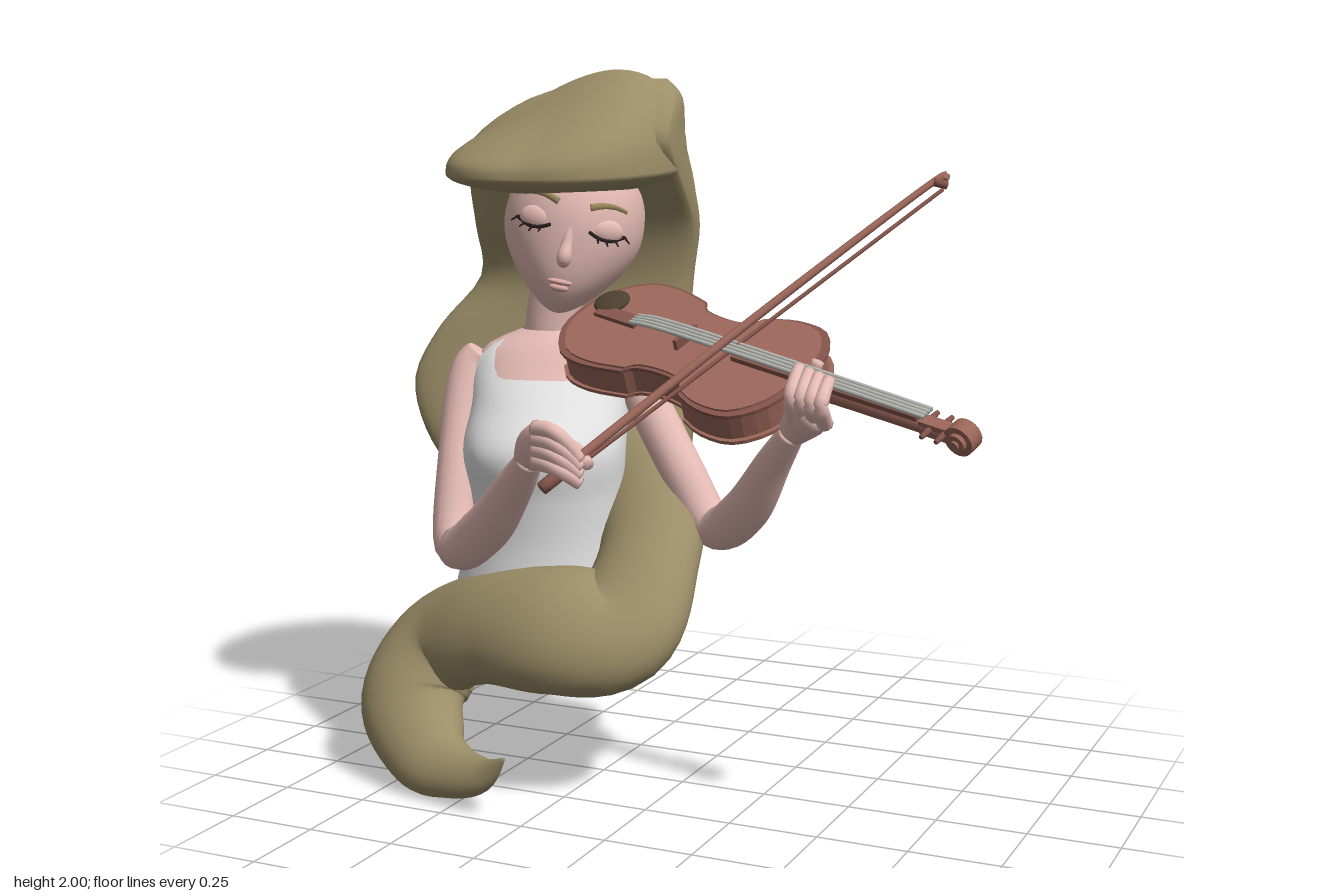
import * as THREE from 'three';

const V = (x, y, z) => new THREE.Vector3(x, y, z);
const mat = (name, color, side = THREE.FrontSide) => {
  const m = new THREE.MeshStandardMaterial({ color, side });
  m.name = name;
  return m;
};

export function createModel() {
  const hair = mat('hair', 0x9c8e68), skin = mat('skin', 0xe6bcb5, THREE.DoubleSide);
  const cloth = mat('cloth', 0xefefef, THREE.DoubleSide), wood = mat('wood', 0x9c675a);
  const darkWood = mat('dark wood', 0x85554b), metal = mat('strings', 0xb8b8b4);
  const black = mat('lashes', 0x2a2020), browMat = mat('brow', 0x9a8a5c);
  const lipMat = mat('lips', 0xd9a7a0), restMat = mat('chin rest', 0x4c4030);
  const root = new THREE.Group();

  const add = (parent, name, geo, material, pos) => {
    const m = new THREE.Mesh(geo, material);
    m.name = name;
    if (pos) m.position.copy(pos);
    parent.add(m);
    return m;
  };
  const group = (parent, name) => {
    const g = new THREE.Group();
    g.name = name;
    parent.add(g);
    return g;
  };
  // smooth interpolation through rows of numbers, t in 0..1
  const sample = (rows, t) => {
    const n = rows.length - 1, f = Math.min(t * n, n - 1e-6), i = Math.floor(f), u = f - i;
    const r = k => rows[Math.max(0, Math.min(n, k))];
    return rows[0].map((_, k) => {
      const a = r(i - 1)[k], b = r(i)[k], c = r(i + 1)[k], d = r(i + 2)[k];
      return b + 0.5 * u * (c - a + u * (2 * a - 5 * b + 4 * c - d + u * (3 * (b - c) + d - a)));
    });
  };
  // skin over closed rings of points
  const loft = (rings, caps = true) => {
    const n = rings[0].length, pts = rings.flat(), idx = [], last = (rings.length - 1) * n;
    for (let j = 0; j < rings.length - 1; j++)
      for (let i = 0; i < n; i++) {
        const a = j * n + i, b = j * n + (i + 1) % n;
        idx.push(a, a + n, b, b, a + n, b + n);
      }
    if (caps) {
      const mid = ring => ring.reduce((s, p) => s.add(p), V(0, 0, 0)).divideScalar(n);
      const c0 = pts.length;
      pts.push(mid(rings[0]), mid(rings[rings.length - 1]));
      for (let i = 0; i < n; i++) {
        const k = (i + 1) % n;
        idx.push(c0, i, k, c0 + 1, last + k, last + i);
      }
    }
    const g = new THREE.BufferGeometry().setFromPoints(pts);
    g.setIndex(idx);
    g.computeVertexNormals();
    return g;
  };
  // tube with changing radius along rows [x, y, z, r]
  const sweep = (rows, steps, sides, ref = V(0, 0, 1), flat = 1) => {
    const rings = [];
    for (let j = 0; j <= steps; j++) {
      const t = j / steps, [x, y, z, r] = sample(rows, t);
      const p = sample(rows, Math.max(0, t - 0.01)), q = sample(rows, Math.min(1, t + 0.01));
      const T = V(q[0] - p[0], q[1] - p[1], q[2] - p[2]).normalize();
      const S = T.clone().cross(ref).normalize(), B = S.clone().cross(T);
      rings.push(Array.from({ length: sides }, (_, i) => {
        const a = i / sides * Math.PI * 2, R = Math.max(r, 0.002);
        return V(x, y, z).addScaledVector(S, R * Math.cos(a)).addScaledVector(B, R * flat * Math.sin(a));
      }));
    }
    return loft(rings);
  };
  const ball = (parent, name, m, p, sx, sy, sz) => {
    const o = add(parent, name, new THREE.SphereGeometry(1, 20, 14), m, p);
    o.scale.set(sx, sy, sz);
    return o;
  };
  const deform = (g, fn) => {
    const p = g.attributes.position, v = V(0, 0, 0);
    for (let i = 0; i < p.count; i++) {
      fn(v.fromBufferAttribute(p, i));
      p.setXYZ(i, v.x, v.y, v.z);
    }
    g.computeVertexNormals();
    return g;
  };

  // Hair: back mass, rows are y, xMin, xMax, zBack, zFront, sideways skew
  const backRows = [
    [0.645, -0.55, -0.25, -0.32, -0.1, 0], [0.7, -0.65, -0.17, -0.44, -0.07, 0.03],
    [0.82, -0.78, -0.13, -0.52, -0.09, 0.08], [0.95, -0.88, -0.13, -0.55, -0.12, 0.11],
    [1.1, -0.93, -0.14, -0.57, -0.16, 0.12], [1.25, -0.87, -0.16, -0.53, -0.2, 0.11],
    [1.4, -0.755, -0.15, -0.48, -0.23, 0.09], [1.55, -0.735, -0.12, -0.49, -0.18, 0.1],
    [1.68, -0.735, -0.1, -0.53, -0.1, 0.05], [1.8, -0.72, -0.09, -0.515, -0.04, 0],
    [1.92, -0.57, -0.11, -0.43, -0.12, 0], [1.975, -0.36, -0.17, -0.34, -0.18, 0]];
  const backRings = [];
  for (let j = 0; j <= 44; j++) {
    const [y, x0, x1, zb, zf, sk] = sample(backRows, j / 44), zc = zf - 0.08;
    backRings.push(Array.from({ length: 40 }, (_, i) => {
      const a = i / 40 * Math.PI * 2, c = Math.cos(a), s = Math.sin(a);
      return V((x0 + x1) / 2 + (x1 - x0) / 2 * c, y, zc + s * (s > 0 ? zf - zc : zc - zb) - sk * c);
    }));
  }
  add(root, 'backHair', loft(backRings), hair);
  // swept fringe, higher on the model's left and sloping down to the brow
  add(root, 'fringe', deform(new THREE.SphereGeometry(1, 48, 36), v => {
    const { x, y, z } = v, front = Math.max(0, z), corner = 1 + 0.35 * Math.max(0, -x) * front;
    const rise = y > 0 ? (0.25 * y ** 0.72 + 0.11 * x * y) * (1 - 0.6 * front) : 0.07 * y;
    v.set(-0.415 + 0.32 * x * corner, 1.725 + rise - 0.025 * front, -0.19 + (z > 0 ? 0.34 : 0.29) * z * corner);
  }), hair);
  // long tail curling round the front
  add(root, 'hairTail', sweep([
    [-0.44, 1.0, -0.35, 0.1], [-0.3, 0.9, -0.26, 0.15], [-0.145, 0.785, -0.11, 0.16], [-0.085, 0.64, 0.05, 0.15],
    [-0.115, 0.485, 0.18, 0.18], [-0.28, 0.475, 0.24, 0.185], [-0.5, 0.45, 0.2, 0.17], [-0.69, 0.36, 0.15, 0.165],
    [-0.745, 0.22, 0.23, 0.16], [-0.64, 0.105, 0.33, 0.12], [-0.52, 0.08, 0.39, 0.08], [-0.4, 0.1, 0.44, 0.05],
    [-0.31, 0.17, 0.48, 0.005]], 90, 28, V(0, 0.6, 0.8), 0.68), hair);

  // Head, turned and tilted toward the instrument
  const head = group(root, 'head');
  head.position.set(-0.4, 1.565, -0.135);
  head.rotation.set(0, 0.42, -0.2, 'YXZ');
  const taper = t => 0.2 * (1 - 0.4 * t * t);
  const faceZ = (x, y) => {
    const ny = y / 0.25, t = Math.max(0, -ny), nx = x / taper(t);
    return 0.23 * Math.sqrt(Math.max(0, 1 - nx * nx - ny * ny)) + 0.08 * t * t;
  };
  add(head, 'face', deform(new THREE.SphereGeometry(1, 40, 30), v => {
    const t = Math.max(0, -v.y);
    v.set(v.x * taper(t), v.y * 0.25, v.z * 0.23 + 0.08 * t * t);
  }), skin);
  add(head, 'nose', sweep([[0, 0.02, 0.214, 0.012], [0, -0.04, 0.226, 0.016], [0, -0.075, 0.237, 0.021],
    [0, -0.092, 0.23, 0.018], [0, -0.1, 0.215, 0.008]], 16, 12, V(1, 0, 0)), skin);
  ball(head, 'upperLip', lipMat, V(0, -0.15, faceZ(0, -0.15) - 0.003), 0.036, 0.009, 0.014);
  ball(head, 'lowerLip', lipMat, V(0, -0.167, faceZ(0, -0.167) - 0.003), 0.028, 0.011, 0.014);
  for (const s of [-1, 1]) {
    const on = (x, y, out) => [s * x, y, faceZ(x, y) + out];
    ball(head, 'eyelid', skin, V(...on(0.1, 0.01, -0.012)), 0.05, 0.034, 0.02).rotation.y = s * 0.45;
    const lash = [0, 1, 2, 3, 4].map(i => [...on(0.055 + i * 0.024, 0.002 - 0.016 * Math.sin(i * Math.PI / 4), 0.006), 0.0055]);
    add(head, 'lashLine', sweep(lash, 16, 6, V(0, 1, 0)), black);
    lash.slice(1).forEach(([x, y, z], i) => add(head, 'lash',
      sweep([[x, y, z, 0.004], [x + s * (0.005 + 0.004 * i), y - 0.015, z + 0.006, 0.002]], 2, 5, V(1, 0, 0)), black));
    add(head, 'brow', sweep([0, 1, 2, 3].map(i =>
      [...on(0.045 + i * 0.033, 0.068 + 0.012 * Math.sin(i), 0.001), 0.01 - i * 0.0015]), 12, 8, V(0, 0, 1), 0.5), browMat);
  }
  add(root, 'neck', sweep([[-0.455, 1.16, -0.11, 0.085], [-0.455, 1.27, -0.1, 0.08], [-0.43, 1.42, -0.1, 0.08]], 10, 20), skin);

  // Torso, rows are y, centre x, centre z, half width, half depth
  const torsoRows = [[0.545, -0.455, -0.02, 0.235, 0.2], [0.68, -0.44, -0.01, 0.215, 0.185], [0.81, -0.43, 0.0, 0.212, 0.188],
    [0.94, -0.425, 0.015, 0.222, 0.195], [1.06, -0.43, -0.03, 0.215, 0.165], [1.15, -0.44, -0.055, 0.215, 0.125],
    [1.22, -0.445, -0.075, 0.19, 0.1], [1.27, -0.455, -0.1, 0.08, 0.08]];
  const torsoPoint = (y, a, grow) => {
    let lo = 0, hi = 1;
    for (let k = 0; k < 24; k++) {
      const m = (lo + hi) / 2;
      if (sample(torsoRows, m)[0] < y) lo = m; else hi = m;
    }
    const [, cx, cz, rx, rz] = sample(torsoRows, lo);
    const x = (rx + grow) * Math.cos(a), z = (rz + grow) * Math.sin(a), c = Math.cos(0.28), s = Math.sin(0.28);
    return V(cx + x * c + z * s, y, cz - x * s + z * c);
  };
  const torso = (topY, bottomY, grow) => loft(Array.from({ length: 31 }, (_, j) =>
    Array.from({ length: 64 }, (_, i) => {
      const a = i / 64 * Math.PI * 2, b = bottomY(a);
      return torsoPoint(b + (topY(a) - b) * j / 30, a, grow);
    })), false);
  add(root, 'body', torso(() => 1.268, () => 0.66, 0), skin);
  add(root, 'sleevelessTop', torso(a => 1.14 + 0.105 * Math.exp(-(((Math.abs(Math.cos(a)) - 0.78) / 0.13) ** 2)),
    a => 0.545 + 0.05 * Math.max(0, -Math.sin(a)), 0.012), cloth);

  // Arms and hands
  add(root, 'rightArm', sweep([[-0.63, 1.2, 0, 0.045], [-0.665, 1.13, 0.02, 0.06], [-0.655, 0.92, 0.1, 0.06], [-0.61, 0.68, 0.2, 0.064],
    [-0.46, 0.755, 0.29, 0.068], [-0.32, 0.9, 0.38, 0.052], [-0.24, 0.99, 0.44, 0.036]], 40, 18), skin);
  add(root, 'leftArm', sweep([[-0.24, 1.2, -0.13, 0.045], [-0.17, 1.09, -0.11, 0.06], [-0.04, 0.89, -0.08, 0.062], [0.07, 0.74, -0.055, 0.062],
    [0.2, 0.81, 0.03, 0.066], [0.32, 0.97, 0.12, 0.048], [0.39, 1.06, 0.17, 0.035]], 40, 18), skin);
  const finger = (name, ...p) => add(root, name, sweep(p.map((q, i) => [...q, 0.023 - i * 0.003]), 12, 10, V(0.3, 1, 0.2)), skin);
  add(root, 'rightPalm', sweep([[-0.26, 0.97, 0.43, 0.036], [-0.21, 1.03, 0.475, 0.05], [-0.15, 1.06, 0.515, 0.048], [-0.125, 1.06, 0.53, 0.02]],
    14, 16, V(0, 0, 1), 0.75), skin);
  add(root, 'leftPalm', sweep([[0.38, 1.05, 0.165, 0.035], [0.43, 1.1, 0.2, 0.055], [0.47, 1.13, 0.235, 0.055], [0.485, 1.14, 0.245, 0.02]],
    14, 16, V(0, 0, 1), 0.8), skin);
  for (let i = 0; i < 4; i++) {
    finger('rightFinger', [-0.18, 1.085 - 0.028 * i, 0.52], [-0.1, 1.08 - 0.03 * i, 0.55], [-0.055, 1.01 - 0.02 * i, 0.515]);
    finger('leftFinger', [0.42 + 0.027 * i, 1.11 - 0.004 * i, 0.23], [0.425 + 0.029 * i, 1.175 - 0.006 * i, 0.27 + 0.006 * i],
      [0.415 + 0.03 * i, 1.235 - 0.008 * i, 0.19 + 0.008 * i]);
  }
  finger('rightThumb', [-0.22, 1.02, 0.43], [-0.14, 1.02, 0.395], [-0.06, 0.99, 0.46]);
  finger('leftThumb', [0.4, 1.1, 0.16], [0.4, 1.17, 0.09], [0.43, 1.24, 0.09]);

  // Violin: local x runs to the scroll, y out of the top plate
  const violin = group(root, 'violin');
  const ax = V(0.935, -0.17, 0.27).normalize(), side = ax.clone().cross(V(0.03, 0.88, 0.47)).normalize();
  violin.quaternion.setFromRotationMatrix(new THREE.Matrix4().makeBasis(ax, side.clone().cross(ax), side));
  violin.position.set(0.025, 1.225, 0.01);
  const bouts = [[[-0.39, 0], [-0.375, 0.09], [-0.3, 0.18], [-0.2, 0.2], [-0.08, 0.178]],
    [[-0.08, 0.178], [-0.05, 0.148], [0.03, 0.138], [0.1, 0.15], [0.13, 0.188]],
    [[0.13, 0.188], [0.21, 0.215], [0.31, 0.205], [0.375, 0.12], [0.39, 0]]];
  const half = bouts.flatMap(b => new THREE.SplineCurve(b.map(p => new THREE.Vector2(...p))).getPoints(12));
  const slab = (grow, y0, y1) => {
    const k = half.map(p => new THREE.Vector2(p.x * (1 + grow), p.y * (1 + 1.5 * grow)));
    const shape = new THREE.Shape([...k, ...k.slice(1, -1).reverse().map(p => new THREE.Vector2(p.x, -p.y))]);
    return new THREE.ExtrudeGeometry(shape, { depth: y1 - y0, bevelEnabled: false }).rotateX(-Math.PI / 2).translate(0, y0, 0);
  };
  add(violin, 'ribs', slab(0, -0.042, 0.03), wood);
  add(violin, 'backPlate', slab(0.03, -0.052, -0.042), wood);
  add(violin, 'rim', slab(0.03, 0.03, 0.04), darkWood);
  add(violin, 'topPlate', slab(-0.02, 0.04, 0.046), wood);
  const box = (name, m, w, h, d, x, y, z) => add(violin, name, new THREE.BoxGeometry(w, h, d), m, V(x, y, z));
  add(violin, 'neck', sweep([[0.36, 0.02, 0, 0.034], [0.45, 0.03, 0, 0.026], [0.85, 0.025, 0, 0.02]], 12, 12, V(0, 1, 0)), wood);
  box('fingerboard', darkWood, 0.6, 0.014, 0.05, 0.48, 0.06, 0);
  box('tailpiece', darkWood, 0.15, 0.012, 0.045, -0.25, 0.056, 0);
  box('bridge', darkWood, 0.012, 0.032, 0.09, 0.0, 0.06, 0);
  box('pegBox', wood, 0.1, 0.04, 0.036, 0.83, 0.03, 0);
  ball(violin, 'chinRest', restMat, V(-0.32, 0.056, -0.05), 0.05, 0.016, 0.055);
  for (const [r, w] of [[0.042, 0.045], [0.026, 0.07], [0.012, 0.085]])
    add(violin, 'scroll', new THREE.CylinderGeometry(r, r, w, 20).rotateX(Math.PI / 2), wood, V(0.9, 0.03, 0));
  for (let i = 0; i < 4; i++) {
    const z = -0.018 + i * 0.012, s = i % 2 ? 1 : -1;
    add(violin, 'string', sweep([[-0.19, 0.066, z, 0.0062], [0, 0.08, z * 1.1, 0.0062], [0.8, 0.071, z, 0.0062]], 12, 8, V(0, 1, 0)), metal);
    add(violin, 'peg', new THREE.CylinderGeometry(0.006, 0.01, 0.04, 8).rotateX(s * Math.PI / 2), darkWood, V(0.79 + i * 0.022, 0.035, s * 0.034));
  }

  // Bow
  const bow = group(root, 'bow'), up = V(0, 1, 0);
  add(bow, 'stick', sweep([[-0.13, 0.96, 0.515, 0.013], [0.22, 1.335, 0.03, 0.012], [0.56, 1.68, -0.43, 0.01],
    [0.595, 1.69, -0.455, 0.012]], 24, 10, up), wood);
  add(bow, 'bowHair', sweep([[-0.14, 0.93, 0.54, 0.006], [0.595, 1.668, -0.45, 0.006]], 4, 8, up), darkWood);
  add(bow, 'frog', sweep([[-0.15, 0.935, 0.545, 0.018], [-0.09, 1.0, 0.465, 0.02]], 4, 10, up), darkWood);
  add(bow, 'bowTip', sweep([[0.57, 1.69, -0.44, 0.012], [0.605, 1.68, -0.46, 0.012]], 4, 8, up), darkWood);
  return root;
}
